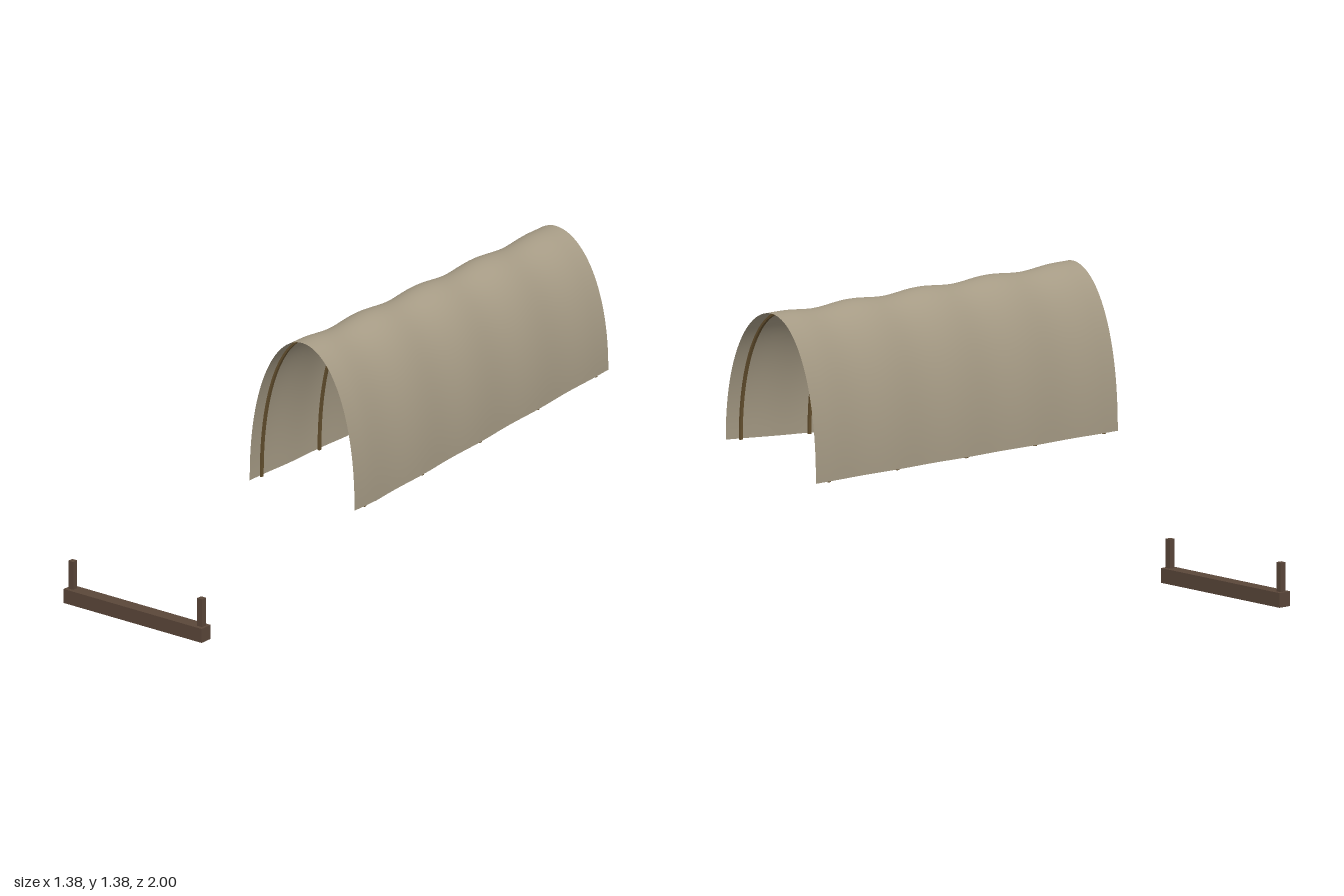
import * as THREE from 'three';

const canvas = new THREE.MeshStandardMaterial({ color: 0xa69b85, side: THREE.DoubleSide });
canvas.name = 'canvas';
const hoopWood = new THREE.MeshStandardMaterial({ color: 0x66512f });
hoopWood.name = 'hoop wood';
const darkWood = new THREE.MeshStandardMaterial({ color: 0x5b473a });
darkWood.name = 'dark wood';

const CENTRE = 0.4, HALF = 0.285, TOP = 1.376, BASE = 0.678;
const FRONT = 0.74, BACK = -1, FIRST = 0.665, SPACING = 0.396, HOOPS = 5;

// Arch point: t runs 0..1 from the -x foot to the +x foot, whose height climbs toward the back
function arch(t, z, inset, drop = 0) {
  const a = Math.PI * t, c = -Math.cos(a);
  const rise = c > 0 ? 0.069 * Math.max(0, 0.58 - z) : 0;
  const base = BASE + rise - drop;
  const y = base + (TOP - inset - base) * Math.pow(Math.max(0, Math.sin(a)), 0.92);
  return new THREE.Vector2(CENTRE + (HALF - inset) * c, y);
}

// Cloth sags inward between neighbouring hoops
function sag(z) {
  const bay = (FIRST - z) / SPACING;
  if (bay < 0 || bay > HOOPS - 1) return 0;
  return 0.0065 * (1 - Math.cos(bay * Math.PI * 2));
}

function makeCover() {
  const geo = new THREE.PlaneGeometry(1, 1, 64, 88);
  const pos = geo.attributes.position;
  for (let i = 0; i < pos.count; i++) {
    const t = pos.getX(i) + 0.5;
    const z = FRONT + (BACK - FRONT) * (pos.getY(i) + 0.5);
    const p = arch(t, z, sag(z) * (0.35 + 0.65 * Math.sin(Math.PI * t)));
    pos.setXYZ(i, p.x, p.y, z);
  }
  geo.computeVertexNormals();
  const mesh = new THREE.Mesh(geo, canvas);
  mesh.name = 'cover';
  return mesh;
}

// Flat bent strip following the arch
function makeHoop(z) {
  const outer = [], inner = [], steps = 48, width = 0.014;
  for (let i = 0; i <= steps; i++) {
    outer.push(arch(i / steps, z, 0.001, 0.004));
    inner.push(arch(i / steps, z, 0.011, 0.004));
  }
  const shape = new THREE.Shape([...outer, ...inner.reverse()]);
  const geo = new THREE.ExtrudeGeometry(shape, { depth: width, bevelEnabled: false });
  geo.translate(0, 0, z - width / 2);
  const mesh = new THREE.Mesh(geo, hoopWood);
  mesh.name = 'hoop';
  return mesh;
}

function box(name, w, h, d, x, y, z) {
  const mesh = new THREE.Mesh(new THREE.BoxGeometry(w, h, d), darkWood);
  mesh.name = name;
  mesh.position.set(x, y, z);
  return mesh;
}

export function createModel() {
  const model = new THREE.Group();
  model.name = 'arched cover and crossbeam';

  // Arched cloth on bent hoops
  const canopy = new THREE.Group();
  canopy.name = 'canopy';
  canopy.add(makeCover());
  for (let i = 0; i < HOOPS; i++) canopy.add(makeHoop(FIRST - SPACING * i));
  model.add(canopy);

  // Beam with an upright stake near each end
  const bolster = new THREE.Group();
  bolster.name = 'bolster';
  bolster.add(box('beam', 0.75, 0.064, 0.062, -0.315, 0.032, 0.969));
  for (const side of [-1, 1]) {
    bolster.add(box('stake', 0.027, 0.128, 0.027, -0.315 + side * 0.35, 0.127, 0.969));
  }
  model.add(bolster);

  return model;
}
